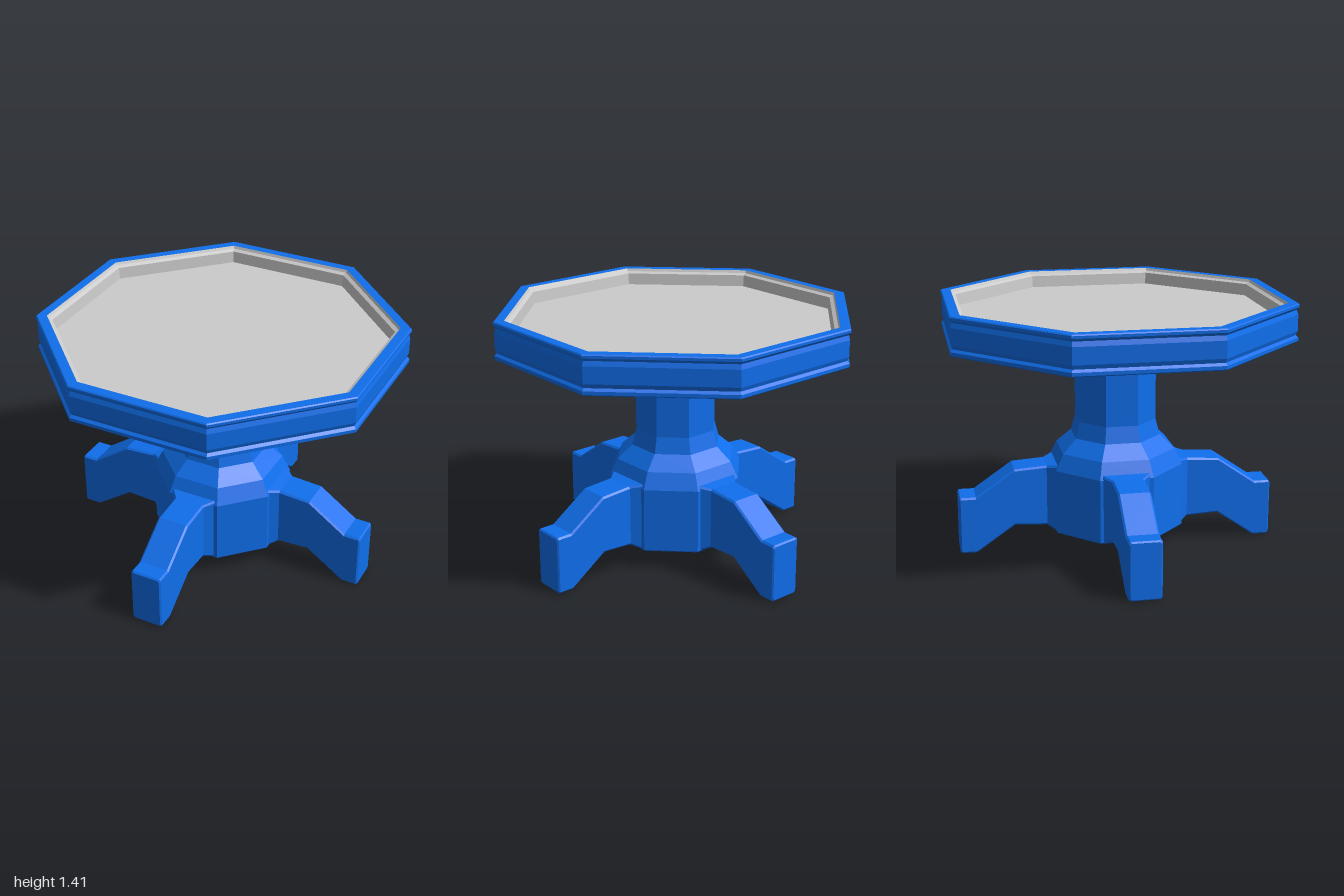
import * as THREE from 'three';

const blue = new THREE.MeshStandardMaterial({ color: 0x0f6eeb, flatShading: true });
const grey = new THREE.MeshStandardMaterial({ color: 0xcccccc, flatShading: true });

// Eight-sided turned part, profile listed from the bottom up the outside
function octagonal(name, profile, material) {
  const points = profile.map(([r, y]) => new THREE.Vector2(r, y));
  const mesh = new THREE.Mesh(new THREE.LatheGeometry(points, 8), material);
  mesh.name = name;
  return mesh;
}

// Leg running along +z, lofted through chamfered rectangles: [z, bottom, top, half width]
function legGeometry() {
  const sections = [
    [0.34, 0.11, 0.5, 0.14],
    [0.4, 0.14, 0.487, 0.089],
    [0.58, 0.15, 0.475, 0.089],
    [0.795, 0, 0.325, 0.089],
    [0.88, 0, 0.325, 0.089],
    [0.888, 0.008, 0.317, 0.081],
  ];
  const c = 0.01;
  const positions = [];
  const index = [];
  for (const [z, b, t, w] of sections) {
    const ring = [
      [w - c, b], [w, b + c], [w, t - c], [w - c, t],
      [c - w, t], [-w, t - c], [-w, b + c], [c - w, b],
    ];
    for (const [x, y] of ring) positions.push(x, y, z);
  }
  const last = (sections.length - 1) * 8;
  for (let s = 0; s < last; s += 8) {
    for (let j = 0; j < 8; j++) {
      const k = (j + 1) % 8;
      index.push(s + j, s + k, s + 8 + k, s + j, s + 8 + k, s + 8 + j);
    }
  }
  // Outer end of the foot
  for (let j = 1; j < 7; j++) index.push(last, last + j, last + j + 1);

  const indexed = new THREE.BufferGeometry();
  indexed.setAttribute('position', new THREE.Float32BufferAttribute(positions, 3));
  indexed.setIndex(index);
  const geometry = indexed.toNonIndexed();
  geometry.computeVertexNormals();
  return geometry;
}

export function createModel() {
  const table = new THREE.Group();
  table.name = 'pedestalTable';

  // Frame of the top, with a groove under its upper and lower lips
  table.add(octagonal('tabletopFrame', [
    [0, 1.2], [0.99, 1.2], [1, 1.207], [1, 1.225], [0.986, 1.238],
    [0.995, 1.26], [0.995, 1.35], [0.986, 1.375], [1, 1.39], [1, 1.404],
    [0.994, 1.41], [0.94, 1.41],
  ], blue));

  // Recessed playing surface and its inner wall
  table.add(octagonal('recessedSurface', [
    [0.94, 1.41], [0.933, 1.395], [0.912, 1.385], [0.905, 1.32], [0, 1.32],
  ], grey));

  // Column flaring into the wide hub
  table.add(octagonal('pedestal', [
    [0, 0.11], [0.377, 0.11], [0.385, 0.118], [0.385, 0.475], [0.34, 0.565],
    [0.255, 0.64], [0.23, 0.73], [0.23, 1.182], [0.243, 1.2],
  ], blue));

  // Four legs on alternate faces of the hub
  const geometry = legGeometry();
  for (let i = 0; i < 4; i++) {
    const leg = new THREE.Mesh(geometry, blue);
    leg.name = `leg${i + 1}`;
    leg.rotation.y = 0.385 + i * Math.PI / 2;
    table.add(leg);
  }
  return table;
}
